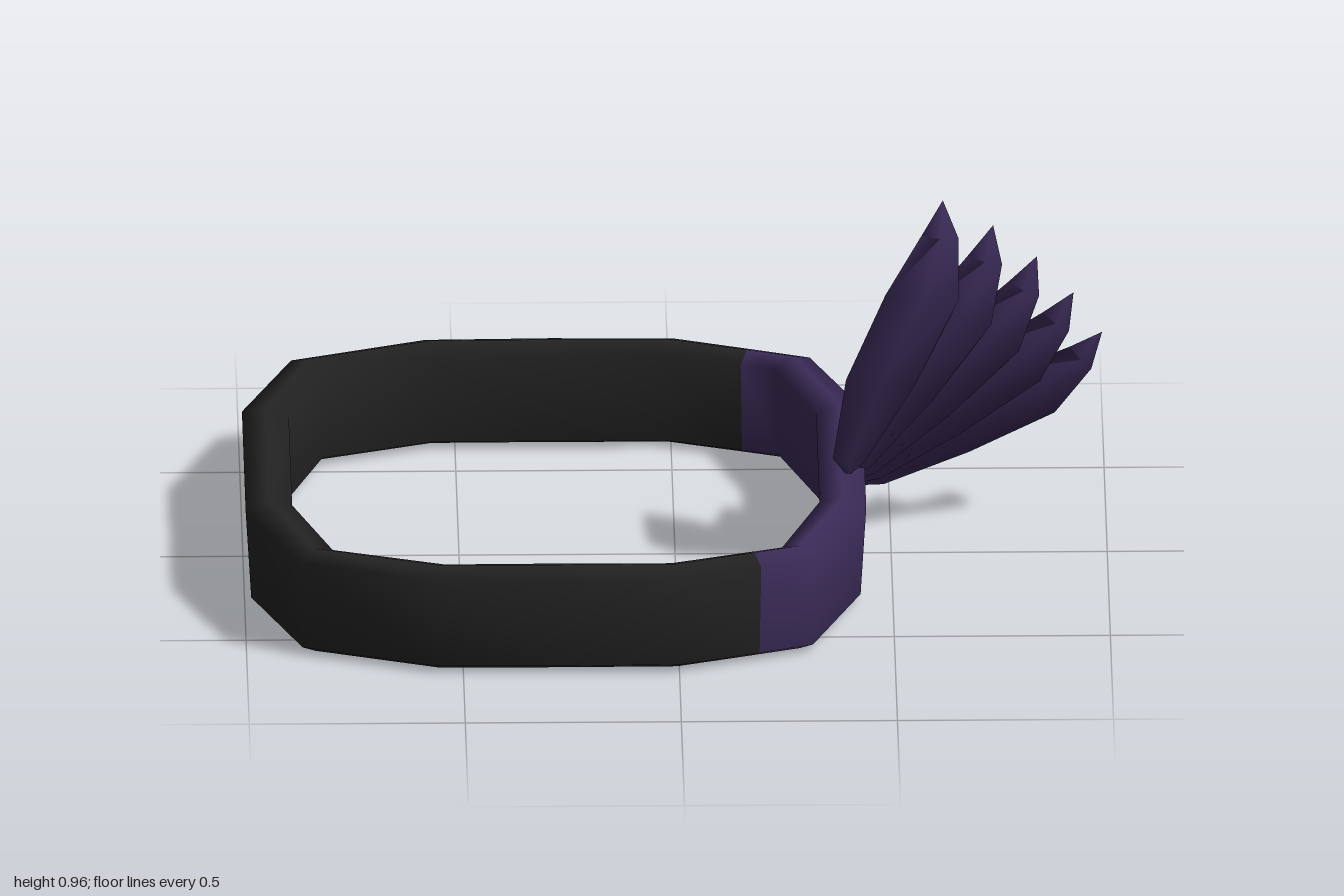
import * as THREE from 'three';

const purple = new THREE.MeshStandardMaterial({ color: 0x3d2d5b });
purple.name = 'deep purple';
const black = new THREE.MeshStandardMaterial({ color: 0x242424 });
black.name = 'soft black';

// Skin a row of cross-sections (each a loop of [x, y, z]) with smooth normals.
// Cross-sections run counter-clockwise when seen from ahead along the row.
function loft(sections, closed) {
  const n = sections[0].length, m = sections.length;
  const index = [];
  for (let i = 0; i < (closed ? m : m - 1); i++) {
    for (let j = 0; j < n; j++) {
      const k = (j + 1) % n, next = (i + 1) % m;
      const a = i * n + j, b = i * n + k, c = next * n + k, d = next * n + j;
      index.push(a, b, c, a, c, d);
    }
  }
  const geometry = new THREE.BufferGeometry();
  geometry.setAttribute('position', new THREE.Float32BufferAttribute(sections.flat(2), 3));
  geometry.setIndex(index);
  geometry.computeVertexNormals();
  return geometry;
}

// Rounded-square band, purple on the side that carries the wing
function createBand() {
  const centreX = -0.28;
  // corner stations: outer x, z and inner x, z
  const A = [0.718, 0.297, 0.61, 0.262];
  const B = [0.6, 0.6, 0.52, 0.53];
  const S = [0.47, 0.65, 0.44, 0.558]; // colour change
  const C = [0.288, 0.718, 0.262, 0.62];
  const M = [0, 0.724, 0, 0.618];
  const flip = (p, sx, sz) => [p[0] * sx, p[1] * sz, p[2] * sx, p[3] * sz];
  const stations = [
    ...[S, B, A].map(p => flip(p, 1, -1)), A, B, S, C, M,
    ...[C, B, A].map(p => flip(p, -1, 1)),
    ...[A, B, C].map(p => flip(p, -1, -1)),
    flip(M, 1, -1), flip(C, 1, -1),
  ];
  // profile: fraction from outer to inner side, height
  const profile = [[0, 0.238], [0.5, 0.257], [1, 0.238], [0.9, 0.02], [0.5, 0], [0.12, 0.02]];
  const sections = stations.map(([ox, oz, ix, iz]) => profile.map(([t, y]) =>
    [centreX + ox + (ix - ox) * t, y, oz + (iz - oz) * t]));
  const geometry = loft(sections, true);
  const perSegment = profile.length * 6;
  geometry.addGroup(0, 5 * perSegment, 0);
  geometry.addGroup(5 * perSegment, (stations.length - 5) * perSegment, 1);
  const band = new THREE.Mesh(geometry, [purple, black]);
  band.name = 'band';
  return band;
}

// One leaf-shaped feather; t runs from the tallest (0) to the lowest (1)
function createFeather(t) {
  const mix = (a, b) => a + (b - a) * t;
  const angle = THREE.MathUtils.degToRad(mix(73, 34.3));
  const length = mix(0.742, 0.666);
  const baseX = mix(0.4, 0.44), baseY = mix(0.25, 0.115);
  const dx = Math.cos(angle), dy = Math.sin(angle);
  // along, left edge, right edge, half thickness, z of first and last feather
  const rows = [
    [-0.01, 0, 0, 0, 0.12, -0.14],
    [0.05, 0.05, -0.03, 0.014, 0.13, -0.13],
    [0.36, 0.09, -0.078, 0.024, 0.19, -0.115],
    [0.69, 0.07, -0.108, 0.02, 0.225, -0.11],
    [0.89, 0.027, -0.063, 0.012, 0.2, -0.125],
    [1, 0, 0, 0, 0.18, -0.145],
  ];
  const sections = rows.map(([u, left, right, thick, z0, z1]) => {
    const middle = (left + right) / 2;
    const point = (w, dz) => [
      baseX + dx * u * length - dy * w,
      baseY + dy * u * length + dx * w,
      mix(z0, z1) + 0.5 * (w - middle) + dz,
    ];
    return [point(left, 0), point(middle, thick), point(right, 0), point(middle, -thick)];
  });
  return new THREE.Mesh(loft(sections, false), purple);
}

export function createModel() {
  const model = new THREE.Group();
  model.name = 'wingedBand';
  model.add(createBand());

  // Fan of five feathers
  const wing = new THREE.Group();
  wing.name = 'wing';
  for (let i = 0; i < 5; i++) {
    const feather = createFeather(i / 4);
    feather.name = 'feather' + (i + 1);
    wing.add(feather);
  }
  model.add(wing);
  return model;
}
